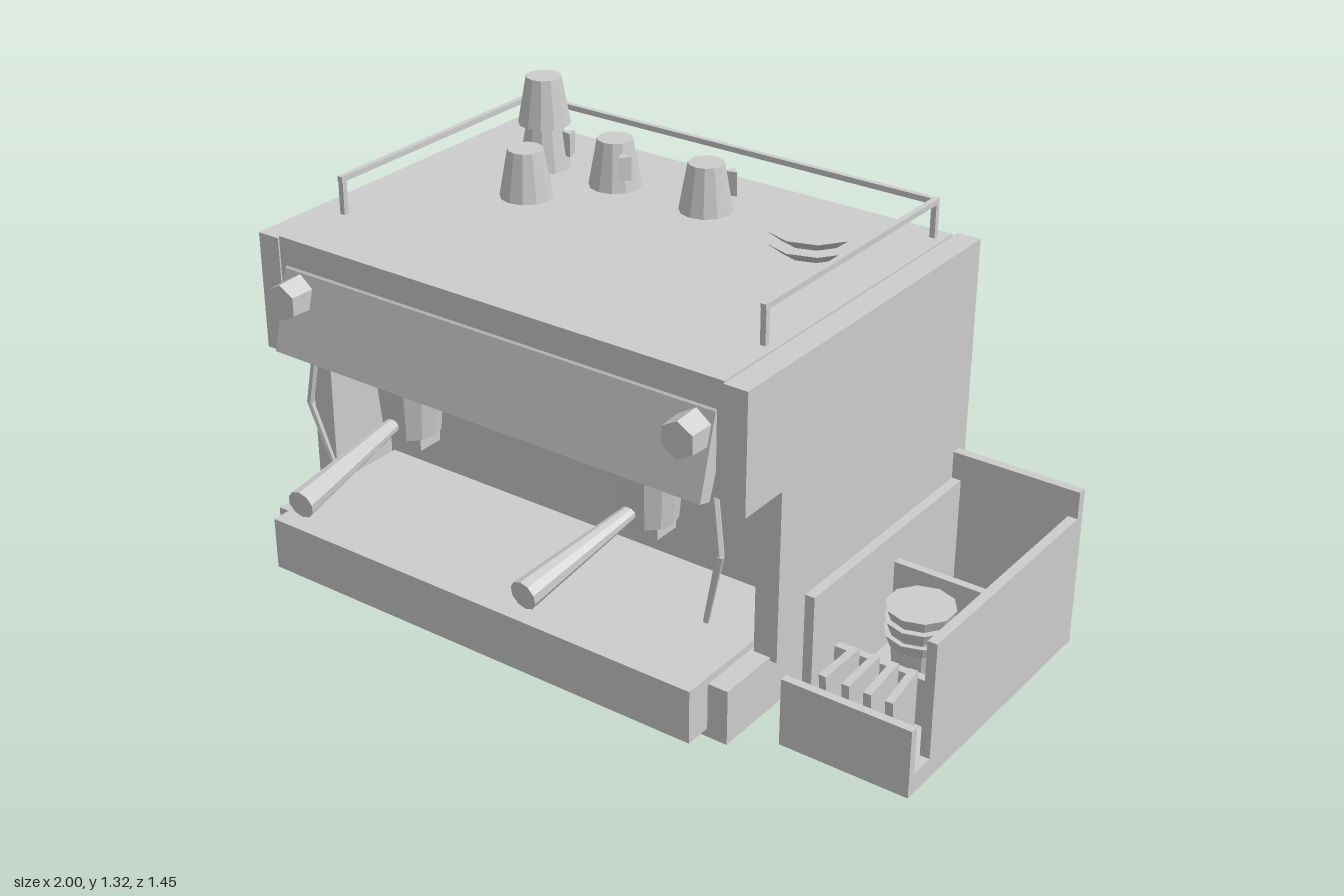
import * as THREE from 'three';

const steel = new THREE.MeshStandardMaterial({ color: 0xcccccc });
steel.name = 'plain grey';

// Meshes are faceted: un-index and recompute normals per face.
function add(parent, name, geometry) {
  const flat = geometry.index ? geometry.toNonIndexed() : geometry;
  flat.computeVertexNormals();
  const mesh = new THREE.Mesh(flat, steel);
  mesh.name = name;
  parent.add(mesh);
  return mesh;
}

// Box given by its limits on each axis.
function box(parent, name, x0, x1, y0, y1, z0, z1) {
  const mesh = add(parent, name, new THREE.BoxGeometry(x1 - x0, y1 - y0, z1 - z0));
  mesh.position.set((x0 + x1) / 2, (y0 + y1) / 2, (z0 + z1) / 2);
  return mesh;
}

// Upright frustum standing on y0.
function frustum(parent, name, x, z, y0, y1, rBottom, rTop, sides = 10) {
  const mesh = add(parent, name, new THREE.CylinderGeometry(rTop, rBottom, y1 - y0, sides));
  mesh.position.set(x, (y0 + y1) / 2, z);
  return mesh;
}

// Straight rod between two points.
function rod(parent, name, a, b, rA, rB, sides = 8) {
  const from = new THREE.Vector3(...a), to = new THREE.Vector3(...b);
  const dir = to.clone().sub(from);
  const mesh = add(parent, name, new THREE.CylinderGeometry(rB, rA, dir.length(), sides));
  mesh.position.copy(from).add(to).multiplyScalar(0.5);
  mesh.quaternion.setFromUnitVectors(new THREE.Vector3(0, 1, 0), dir.normalize());
  return mesh;
}

// Profile of [z, y] points extruded from x0 to x1.
function sideProfile(parent, name, points, x0, x1) {
  const shape = new THREE.Shape(points.map(([z, y]) => new THREE.Vector2(-z, y)));
  const g = new THREE.ExtrudeGeometry(shape, { depth: x1 - x0, bevelEnabled: false });
  g.rotateY(Math.PI / 2);
  g.translate(x0, 0, 0);
  return add(parent, name, g);
}

function buildBody(parent) {
  const body = new THREE.Group();
  body.name = 'machineBody';
  parent.add(body);
  const mid = -0.21;

  // Core with a deep work recess at the front
  sideProfile(body, 'core', [
    [-0.69, 0.2], [-0.69, 1.055], [0.385, 1.055], [0.385, 0.735], [0, 0.735], [0, 0.2],
  ], -0.93, 0.51);
  box(body, 'backPanel', -0.91, 0.49, 0.25, 1.01, -0.72, -0.68);
  box(body, 'base', -0.98, 0.56, 0.06, 0.22, -0.7, 0.42);
  box(body, 'dripTray', -0.92, 0.5, 0.085, 0.24, 0, 0.5);

  // Stepped side panels
  for (const [x0, x1] of [[-1, -0.93], [0.51, 0.58]]) {
    sideProfile(body, 'sidePanel', [
      [-0.715, 0.21], [-0.715, 1.05], [0.39, 1.05], [0.39, 0.71], [0.23, 0.71], [0.23, 0.21],
    ], x0, x1);
  }

  // Sloping control panel
  sideProfile(body, 'controlPanel', [
    [0.38, 0.98], [0.39, 0.97], [0.45, 0.745], [0.41, 0.735], [0.38, 0.82],
  ], -0.91, 0.49);

  for (const side of [-1, 1]) {
    const knob = add(body, 'knob', new THREE.CylinderGeometry(0.052, 0.057, 0.1, 6));
    knob.rotation.x = Math.PI / 2;
    knob.position.set(mid + side * 0.645, 0.91, 0.42);
    for (const z of [0.29, -0.59]) {
      const x = mid + side * 0.65;
      box(body, 'foot', x - 0.05, x + 0.05, 0, 0.06, z - 0.05, z + 0.05);
    }

    // Bent steam wand
    const wand = [[0.66, 0.74, 0.335], [0.69, 0.55, 0.345], [0.63, 0.32, 0.315]]
      .map(([x, y, z]) => [mid + side * x, y, z]);
    rod(body, 'steamWandUpper', wand[0], wand[1], 0.011, 0.011, 6);
    rod(body, 'steamWandLower', wand[1], wand[2], 0.011, 0.008, 6);

    // Brewing group, spout and handle
    const x = mid + side * 0.4;
    frustum(body, 'brewHead', x, 0.25, 0.52, 0.74, 0.08, 0.1, 12);
    box(body, 'spout', x - 0.045, x + 0.045, 0.47, 0.525, 0.19, 0.27);
    rod(body, 'filterHandle', [x, 0.565, 0.31], [mid + side * 0.37, 0.505, 0.72], 0.02, 0.04, 10);
  }
  frustum(body, 'waterOutlet', -0.21, 0.15, 0.59, 0.74, 0.022, 0.022, 8);
}

function buildTop(parent) {
  const top = new THREE.Group();
  top.name = 'topShelf';
  parent.add(top);

  // Three-sided cup rail
  const t = 0.008;
  for (const x of [-0.895, 0.477]) {
    box(top, 'sideRail', x - t, x + t, 1.15, 1.166, -0.65, 0.178);
    for (const z of [-0.642, 0.168]) box(top, 'railPost', x - t, x + t, 1.05, 1.155, z - t, z + t);
  }
  box(top, 'backRail', -0.895, 0.477, 1.15, 1.166, -0.65, -0.634);

  // Cups: x, z, base height, handle direction
  const cups = [
    [-0.68, -0.44, 1.055, 0.07, -0.02], [-0.68, -0.44, 1.185, -0.02, -0.07],
    [-0.43, -0.44, 1.055, 0.06, 0.04], [-0.12, -0.44, 1.055, 0.05, -0.05],
    [-0.58, -0.23, 1.055, -0.03, -0.07],
  ];
  for (const [x, z, y, dx, dz] of cups) {
    frustum(top, 'cup', x, z, y, y + 0.138, 0.076, 0.051, 12);
    const handle = frustum(top, 'cupHandle', x + dx, z + dz, y + 0.04, y + 0.11, 0.022, 0.022, 3);
    handle.rotation.y = Math.atan2(dx, dz) + Math.PI;
  }
  for (const y of [1.055, 1.09]) frustum(top, 'saucer', 0.265, -0.385, y, y + 0.034, 0.09, 0.134);
}

function buildCaddy(parent) {
  const caddy = new THREE.Group();
  caddy.name = 'supplyCaddy';
  parent.add(caddy);
  box(caddy, 'floor', 0.62, 1, 0, 0.06, -0.6, 0.27);
  box(caddy, 'backWall', 0.62, 1, 0, 0.48, -0.6, -0.572);
  box(caddy, 'frontWall', 0.62, 1, 0, 0.2, 0.245, 0.27);
  for (const x of [0.62, 0.972]) box(caddy, 'sideWall', x, x + 0.028, 0, 0.4, -0.59, 0.17);
  box(caddy, 'rearDivider', 0.64, 0.98, 0.05, 0.31, -0.252, -0.228);
  box(caddy, 'frontDivider', 0.64, 0.98, 0.05, 0.2, 0.038, 0.062);

  // Stack of paper cups
  frustum(caddy, 'cupStack', 0.807, -0.095, 0.06, 0.24, 0.065, 0.08);
  for (const y of [0.195, 0.235, 0.272]) {
    frustum(caddy, 'stackedCup', 0.807, -0.095, y, y + 0.032, 0.082, 0.094);
  }

  // Upright packets fanned between the front wall and divider
  [0.73, 0.785, 0.835, 0.885].forEach((x, i) => {
    const packet = sideProfile(caddy, 'packet', [
      [0.08, 0.06], [0.08, 0.235], [0.222, 0.22], [0.205, 0.06],
    ], -0.011, 0.011);
    packet.position.x = x;
    packet.rotation.y = (i - 1.5) * 0.06;
  });
}

export function createModel() {
  const model = new THREE.Group();
  model.name = 'espressoMachine';
  buildBody(model);
  buildTop(model);
  buildCaddy(model);
  return model;
}
